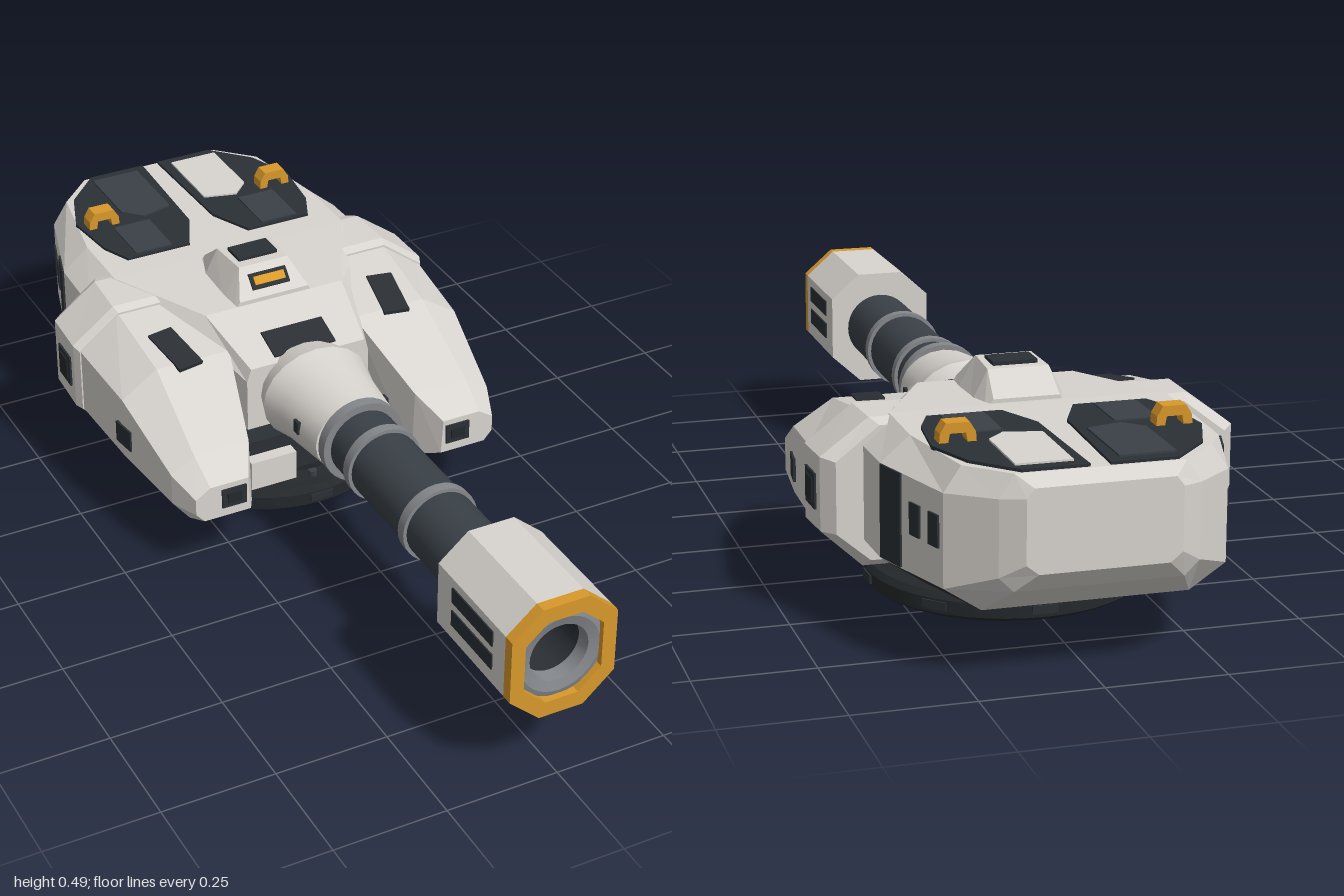
import * as THREE from 'three';
import { toCreasedNormals } from 'three/addons/utils/BufferGeometryUtils.js';

const mat = (name, color) => Object.assign(new THREE.MeshStandardMaterial({ color }), { name });

export function createModel() {
  const white = mat('armour white', 0xd8d4cf), dark = mat('dark panel', 0x2b3035);
  const steel = mat('barrel steel', 0x3a4147), black = mat('base black', 0x24282b);
  const grey = mat('ring grey', 0x85888c), gold = mat('gold', 0xd9992b);
  const model = new THREE.Group();

  const add = (name, geo, material, x = 0, y = 0, z = 0) => {
    const m = new THREE.Mesh(geo, material);
    m.name = name;
    m.position.set(x, y, z);
    m.updateMatrixWorld();
    model.add(m);
    return m;
  };

  // Faceted skin over rings listed from back to front, counterclockwise seen from the front.
  // isSecond(segment, side) sends a face to the second material.
  const loft = (rings, isSecond = () => false) => {
    const out = [[], []], n = rings[0].length, last = rings.length - 1;
    const tri = (k, ...p) => p.forEach(v => out[k].push(...v));
    for (let s = 0; s < last; s++) for (let i = 0; i < n; i++) {
      const j = (i + 1) % n, k = isSecond(s, i) ? 1 : 0;
      const [a, b, c, d] = [rings[s][i], rings[s][j], rings[s + 1][j], rings[s + 1][i]];
      tri(k, a, b, c);
      tri(k, a, c, d);
    }
    for (let i = 1; i < n - 1; i++) {
      tri(0, rings[0][0], rings[0][i + 1], rings[0][i]);
      tri(0, rings[last][0], rings[last][i], rings[last][i + 1]);
    }
    const geo = new THREE.BufferGeometry();
    geo.setAttribute('position', new THREE.Float32BufferAttribute([...out[0], ...out[1]], 3));
    geo.addGroup(0, out[0].length / 3, 0);
    geo.addGroup(out[0].length / 3, out[1].length / 3, 1);
    geo.computeVertexNormals();
    return geo;
  };

  const lathe = (pts, sides = 40) =>
    toCreasedNormals(new THREE.LatheGeometry(pts.map(p => new THREE.Vector2(...p)), sides), 0.5);
  const latheZ = (pts, sides) => lathe(pts, sides).rotateX(Math.PI / 2);

  // Lays a thin plate on the surface struck by a ray.
  const stick = (name, target, material, from, dir, up, w, h) => {
    const ray = new THREE.Raycaster(new THREE.Vector3(...from), new THREE.Vector3(...dir));
    const hit = ray.intersectObject(target)[0];
    if (!hit) return;
    const n = hit.face.normal.clone();
    const x = new THREE.Vector3(...up).cross(n).normalize(), y = n.clone().cross(x);
    const plate = add(name, new THREE.BoxGeometry(w, h, 0.009), material);
    plate.quaternion.setFromRotationMatrix(new THREE.Matrix4().makeBasis(x, y, n));
    plate.position.copy(hit.point);
    plate.updateMatrixWorld();
    return plate;
  };

  // Turntable base
  const cz = -0.33;
  add('turntableBase', lathe([[0.11, 0.05], [0.11, 0.005], [0.28, 0.005], [0.295, 0.015], [0.295, 0.045],
    [0.285, 0.058], [0.235, 0.062], [0.22, 0.07], [0.25, 0.085], [0.272, 0.095], [0.272, 0.115], [0.2, 0.13]], 48), black, 0, 0, cz);
  add('baseRecess', new THREE.CircleGeometry(0.115, 32).rotateX(Math.PI / 2), black, 0, 0.045, cz);
  add('baseHub', new THREE.TorusGeometry(0.065, 0.014, 8, 32).rotateX(Math.PI / 2), steel, 0, 0.04, cz);
  for (let i = 0; i < 8; i++) {
    const a = i * Math.PI / 4, s = Math.sin(a), c = Math.cos(a);
    add('rimPlate', new THREE.BoxGeometry(0.055, 0.018, 0.008).rotateY(a), dark, s * 0.294, 0.032, cz + c * 0.294);
    add('baseBolt', new THREE.CylinderGeometry(0.01, 0.01, 0.015, 8), steel, s * 0.25, 0.066, cz + c * 0.25);
  }

  // Main hull: z, half widths (top, middle, bottom), heights (top, shoulder, low, bottom)
  const hullRing = ([z, wt, w, wb, yt, ys, yl, yb]) => {
    const half = [[wb, yb], [w, yl], [w, ys], [wt, yt]];
    return [...half, ...half.map(([x, y]) => [-x, y]).reverse()].map(([x, y]) => [x, y, z]);
  };
  const hull = add('hull', loft([
    [-0.99, 0.14, 0.155, 0.13, 0.41, 0.39, 0.26, 0.24],
    [-0.96, 0.17, 0.2, 0.17, 0.432, 0.385, 0.23, 0.2],
    [-0.88, 0.25, 0.285, 0.21, 0.432, 0.38, 0.19, 0.14],
    [-0.66, 0.29, 0.35, 0.26, 0.432, 0.38, 0.185, 0.125],
    [-0.5, 0.29, 0.355, 0.27, 0.432, 0.38, 0.185, 0.12],
    [-0.27, 0.17, 0.2, 0.19, 0.425, 0.39, 0.19, 0.12],
    [-0.1, 0.14, 0.15, 0.15, 0.37, 0.34, 0.2, 0.12],
  ].map(hullRing), (s, i) => s > 1 && (i === 0 || i > 5)), [white, dark]);
  add('chin', new THREE.BoxGeometry(0.35, 0.1, 0.26), dark, 0, 0.165, -0.18);
  add('chinGuard', new THREE.BoxGeometry(0.11, 0.07, 0.16), white, -0.125, 0.146, -0.1);

  // Side pods: z, inner x (top, bottom), outer x (top, middle, bottom), heights (top, shoulder, low, bottom)
  const podRing = s => ([z, it, ib, ot, o, ob, yt, ys, yl, yb]) => {
    const r = [[ib, yb], [ob, yb], [o, yl], [o, ys], [ot, yt], [it, yt]].map(([x, y]) => [x * s, y, z]);
    return s < 0 ? r.reverse() : r;
  };
  const frontPod = [
    [-0.39, 0.14, 0.17, 0.335, 0.43, 0.35, 0.418, 0.345, 0.195, 0.113],
    [-0.18, 0.155, 0.175, 0.33, 0.415, 0.35, 0.38, 0.325, 0.18, 0.112],
    [0.02, 0.205, 0.2, 0.335, 0.39, 0.35, 0.275, 0.24, 0.168, 0.117],
    [0.09, 0.24, 0.235, 0.33, 0.365, 0.345, 0.232, 0.21, 0.172, 0.15],
  ];
  const rearPod = [
    [-0.54, 0.2, 0.2, 0.32, 0.41, 0.34, 0.42, 0.35, 0.2, 0.14],
    [-0.51, 0.18, 0.18, 0.335, 0.436, 0.35, 0.43, 0.355, 0.2, 0.12],
    [-0.395, 0.145, 0.17, 0.34, 0.44, 0.355, 0.428, 0.352, 0.195, 0.112],
    [-0.375, 0.145, 0.17, 0.335, 0.432, 0.35, 0.42, 0.345, 0.195, 0.115],
  ];
  for (const s of [1, -1]) {
    const front = add('frontPod', loft(frontPod.map(podRing(s))), white);
    const rear = add('rearPod', loft(rearPod.map(podRing(s))), white);
    const side = (name, t, z, y, w, h, m = dark) => stick(name, t, m, [s, y, z], [-s, 0, 0], [0, 1, 0], w, h);
    side('podHatch', rear, -0.447, 0.275, 0.07, 0.075);
    side('podHatchInset', rear, -0.447, 0.275, 0.045, 0.05, black).translateZ(0.003);
    side('podPort', front, -0.175, 0.235, 0.06, 0.05);
    stick('podWindow', front, dark, [s * 0.265, 1, -0.225], [0, -1, 0], [s * 0.15, 0, -1], 0.06, 0.13);
    stick('noseHatch', front, dark, [s * 0.275, 0.196, 1], [0, 0, -1], [0, 1, 0], 0.058, 0.046);
    stick('noseHatchInset', front, black, [s * 0.275, 0.196, 1], [0, 0, -1], [0, 1, 0], 0.034, 0.024).translateZ(0.003);
    // Hull flank details
    side('flankBand', hull, -0.7, 0.285, 0.075, 0.19);
    side('flankVent', hull, -0.785, 0.3, 0.035, 0.065);
    side('flankVent', hull, -0.85, 0.3, 0.035, 0.065);

    // Rear deck panels and grab handle
    const deck = new THREE.Shape([[0.02, 0.955], [0.155, 0.955], [0.235, 0.87], [0.275, 0.76], [0.26, 0.63],
      [0.23, 0.56], [0.075, 0.56], [0.03, 0.66]].map(([x, z]) => new THREE.Vector2(x * s, z)));
    add('deckPanel', new THREE.ExtrudeGeometry(deck, { depth: 0.008, bevelEnabled: false }).rotateX(-Math.PI / 2), dark, 0, 0.43, 0);
    const cover = new THREE.Shape([[0.045, 0.93], [0.16, 0.93], [0.16, 0.76], [0.12, 0.72], [0.045, 0.74]]
      .map(([x, z]) => new THREE.Vector2(x * s, z)));
    add('deckCover', new THREE.ExtrudeGeometry(cover, { depth: 0.006, bevelEnabled: false }).rotateX(-Math.PI / 2), s > 0 ? white : steel, 0, 0.436, 0);
    add('deckStep', new THREE.BoxGeometry(0.09, 0.006, 0.13), steel, s * 0.16, 0.438, -0.635);
    const v = pts => pts.map(p => new THREE.Vector2(...p));
    const arch = new THREE.Shape(v([[-0.038, 0], [0.038, 0], [0.036, 0.025], [0.024, 0.045], [-0.024, 0.045], [-0.036, 0.025]]));
    arch.holes.push(new THREE.Path(v([[-0.02, 0.002], [-0.016, 0.024], [0.016, 0.024], [0.02, 0.002]])));
    add('grabHandle', new THREE.ExtrudeGeometry(arch, { depth: 0.036, bevelEnabled: false }), gold, s * 0.22, 0.432, -0.754);
  }

  // Sight housing on the roof
  const sight = add('sightHousing', loft([[-0.49, 0.07, 0.09, 0.44], [-0.43, 0.065, 0.105, 0.487],
    [-0.325, 0.06, 0.105, 0.49], [-0.27, 0.085, 0.1, 0.435]].map(([z, t, b, y]) =>
    [[b, 0.41, z], [t, y, z], [-t, y, z], [-b, 0.41, z]])), white);
  add('sightHatch', new THREE.BoxGeometry(0.095, 0.012, 0.06), dark, 0, 0.49, -0.38);
  stick('visorFrame', sight, dark, [0, 0.462, 1], [0, 0, -1], [0, 1, 0], 0.092, 0.038);
  stick('visor', sight, gold, [0, 0.462, 1], [0, 0, -1], [0, 1, 0], 0.075, 0.02).translateZ(0.003);
  stick('roofPanel', hull, dark, [0, 1, -0.15], [0, -1, 0], [0, 0, -1], 0.15, 0.075);

  // Gun sleeve, barrel and clamps
  const gy = 0.295;
  add('gunSleeve', latheZ([[0.06, -0.16], [0.11, -0.12], [0.13, -0.06], [0.115, 0], [0.1, 0.135], [0.07, 0.14]], 20).scale(1, 0.86, 1), white, 0, gy, 0);
  for (const s of [1, -1]) add('sleeveSlot', new THREE.BoxGeometry(0.008, 0.03, 0.02), dark, s * 0.107, gy + 0.01, 0.06);
  add('barrel', new THREE.CylinderGeometry(0.079, 0.079, 0.76, 32).rotateX(Math.PI / 2), steel, 0, gy, 0.47);
  for (const [z, r, d] of [[0.152, 0.096, 0.026], [0.25, 0.087, 0.024], [0.495, 0.087, 0.024]])
    add('barrelClamp', new THREE.CylinderGeometry(r, r, d, 32).rotateX(Math.PI / 2), grey, 0, gy, z);

  // Octagonal muzzle with gold rim and lined bore
  const octagon = k => [[0.05, -0.132], [0.118, -0.07], [0.118, 0.075], [0.052, 0.132], [-0.052, 0.132],
    [-0.118, 0.075], [-0.118, -0.07], [-0.05, -0.132]].map(([x, y]) => new THREE.Vector2(x * k, y * k));
  const body = new THREE.Shape(octagon(1));
  body.holes.push(new THREE.Path().absarc(0, 0, 0.078, 0, Math.PI * 2, true));
  add('muzzle', new THREE.ExtrudeGeometry(body, { depth: 0.265, bevelEnabled: false }), white, 0, gy, 0.71);
  const rim = new THREE.Shape(octagon(1));
  rim.holes.push(new THREE.Path(octagon(0.74).reverse()));
  add('muzzleRim', new THREE.ExtrudeGeometry(rim, { depth: 0.025, bevelEnabled: false }), gold, 0, gy, 0.975);
  add('boreRing', latheZ([[0.1, 0.97], [0.1, 0.985], [0.088, 0.988], [0.066, 0.982], [0.064, 0.95]]), grey, 0, gy, 0);
  add('bore', latheZ([[0.064, 0.95], [0.062, 0.86], [0.045, 0.86], [0.045, 0.852], [0, 0.852]]), dark, 0, gy, 0);
  for (const s of [1, -1]) for (const y of [-0.018, 0.038])
    add('muzzleSlot', new THREE.BoxGeometry(0.008, 0.036, 0.16), dark, s * 0.117, gy + y, 0.85);
  return model;
}
